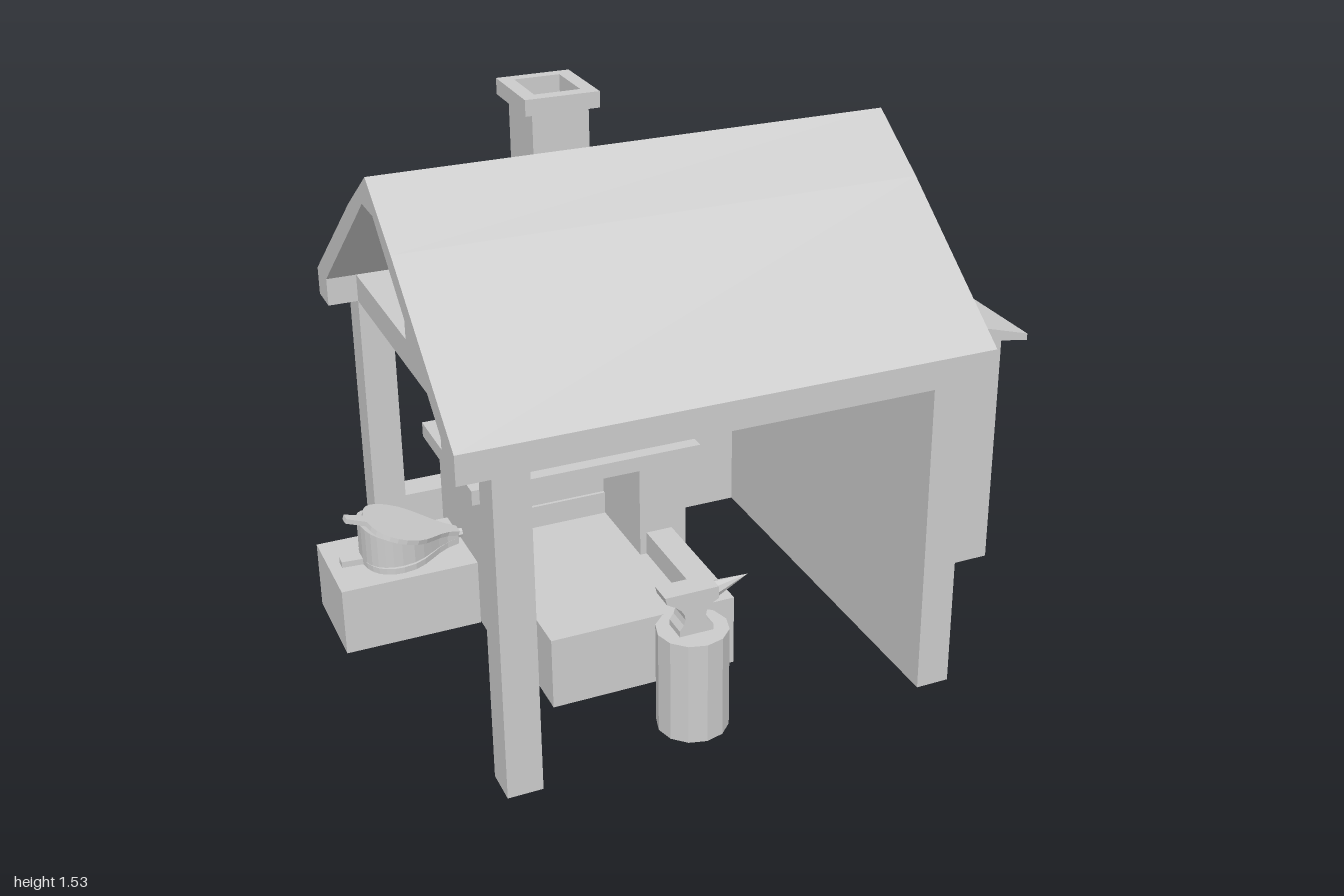
import * as THREE from 'three';

const mat = new THREE.MeshStandardMaterial({ color: 0xcccccc, flatShading: true, side: THREE.DoubleSide });

export function createModel() {
  const model = new THREE.Group();

  const add = (name, geo, parent = model) => {
    const m = new THREE.Mesh(geo, mat);
    m.name = name;
    parent.add(m);
    return m;
  };
  // Box from its limits on each axis
  const box = (name, x0, x1, y0, y1, z0, z1, parent) =>
    add(name, new THREE.BoxGeometry(x1 - x0, y1 - y0, z1 - z0)
      .translate((x0 + x1) / 2, (y0 + y1) / 2, (z0 + z1) / 2), parent);
  const poly = pts => new THREE.Shape(pts.map(p => new THREE.Vector2(...p)));
  const rect = (x0, x1, z0, z1) => poly([[x0, z0], [x1, z0], [x1, z1], [x0, z1]]);
  const extrude = (shape, depth) =>
    new THREE.ExtrudeGeometry(shape, { depth, bevelEnabled: false, curveSegments: 6 });
  // Section in (z, y) swept along x
  const alongX = (name, pts, x0, x1, parent) =>
    add(name, extrude(poly(pts), x1 - x0).rotateY(-Math.PI / 2).translate(x1, 0, 0), parent);
  // Section in (x, y) swept along z
  const alongZ = (name, shape, z0, z1, parent) =>
    add(name, extrude(shape, z1 - z0).translate(0, 0, z0), parent);
  // Plan in (x, z) swept along y, with an optional hole
  const alongY = (name, shape, y0, y1, hole, parent) => {
    if (hole) shape.holes.push(hole);
    return add(name, extrude(shape, y1 - y0).rotateX(Math.PI / 2).translate(0, y1, 0), parent);
  };

  // Gable roof with drop eaves
  const half = [[0.64, 0.9], [0.64, 0.98], [0.2, 1.31]];
  const inner = [[0.05, 1.36], [0.1, 1.32], [0.54, 0.98], [0.54, 0.9]];
  const mirror = pts => pts.map(([z, y]) => [-z, y]).reverse();
  alongX('roof', [...half, [0, 1.445], ...mirror(half), ...mirror(inner), ...inner], -0.885, 0.56);

  // Side wall, posts, low back wall
  alongX('sideWall', [[-0.64, 0], [0.64, 0], [0.64, 0.9], [0.54, 0.9], [0.54, 0.98],
    [-0.54, 0.98], [-0.54, 0.9], [-0.64, 0.9]], 0.38, 0.475);
  for (const [name, z] of [['frontPost', 0.54], ['backPost', -0.64]])
    box(name, -0.8, -0.705, 0, 0.9, z, z + 0.1);
  box('backWall', -0.705, 0.38, 0, 0.25, -0.64, -0.55);

  // Gable framing
  box('tieBeam', -0.8, -0.705, 0.9, 0.98, -0.54, 0.54);
  for (const x of [-0.8, 0.38]) box('kingPost', x, x + 0.095, 0.98, 1.36, -0.043, 0.043);

  // Lean-to shed
  const shed = new THREE.Group();
  shed.name = 'shed';
  model.add(shed);
  alongZ('shedBody', poly([[0.475, 0], [0.935, 0], [0.935, 0.74], [0.475, 0.81]]), -0.54, 0.11, shed);
  alongZ('shedRoof', poly([[0.475, 0.81], [1, 0.73], [1, 0.75], [0.475, 0.9]]), -0.575, 0.145, shed);

  // Forge: U-shaped body, hearth tray, slab, hood and hollow chimney
  const forge = new THREE.Group();
  forge.name = 'forge';
  model.add(forge);
  alongY('forgeBody', poly([[-0.605, -0.5], [0.02, -0.5], [0.02, -0.11], [-0.125, -0.11],
    [-0.125, -0.4], [-0.455, -0.4], [-0.455, -0.11], [-0.605, -0.11]]), 0.005, 0.44, null, forge);
  alongY('hearthRim', rect(-0.56, -0.025, -0.45, 0.32), 0.14, 0.21, rect(-0.48, -0.105, -0.39, 0.24), forge);
  box('hearthBase', -0.56, -0.025, 0, 0.14, -0.45, 0.32, forge);
  box('slab', -0.64, 0.05, 0.44, 0.485, -0.54, -0.07, forge);
  box('hood', -0.56, -0.025, 0.485, 0.665, -0.45, -0.16, forge);
  const flue = () => rect(-0.36, -0.23, -0.39, -0.23);
  alongY('chimney', rect(-0.375, -0.215, -0.4, -0.21), 0.665, 1.49, flue(), forge);
  alongY('chimneyCap', rect(-0.4, -0.19, -0.425, -0.19), 1.485, 1.53, flue(), forge);

  // Anvil on a stump
  const anvil = new THREE.Group();
  anvil.name = 'anvilStand';
  anvil.position.set(-0.245, 0, 0.53);
  model.add(anvil);
  add('stump', new THREE.CylinderGeometry(0.097, 0.097, 0.295, 12).translate(0, 0.1475, 0), anvil);
  const side = new THREE.Shape();
  side.moveTo(-0.05, 0.295);
  side.lineTo(0.045, 0.295);
  side.lineTo(0.045, 0.312);
  side.quadraticCurveTo(0.005, 0.34, 0.04, 0.375);
  side.lineTo(0.06, 0.385);
  side.lineTo(0.06, 0.42);
  side.lineTo(-0.09, 0.42);
  side.lineTo(-0.085, 0.4);
  side.quadraticCurveTo(-0.005, 0.36, -0.05, 0.312);
  alongZ('anvilBody', side, -0.033, 0.033, anvil);
  // Horn: cone whose top edge runs level with the anvil face
  const horn = new THREE.ConeGeometry(0.024, 0.1, 8).rotateZ(-Math.PI / 2).translate(0.108, 0, 0);
  const hp = horn.attributes.position;
  for (let i = 0; i < hp.count; i++) {
    const t = (hp.getX(i) - 0.058) / 0.1;
    hp.setY(i, hp.getY(i) + 0.393 + 0.023 * t);
  }
  add('anvilHorn', horn, anvil);

  // Bellows on a low bench
  box('bench', -1, -0.605, 0, 0.2, -0.455, -0.165);
  const bellows = new THREE.Group();
  bellows.name = 'bellows';
  bellows.position.set(-0.62, 0, -0.31);
  model.add(bellows);
  // Teardrop plan with the nozzle end at x = 0
  const teardrop = (s, handle) => {
    const w = 0.115 * s, p = new THREE.Shape();
    p.moveTo(0, 0.018);
    p.bezierCurveTo(-0.08, 0.03, -0.11, w, -0.19, w);
    p.quadraticCurveTo(-0.275, w, -0.285, 0.02);
    if (handle) {
      p.lineTo(-0.345, 0.015);
      p.lineTo(-0.345, -0.015);
    }
    p.lineTo(-0.285, -0.02);
    p.quadraticCurveTo(-0.275, -w, -0.19, -w);
    p.bezierCurveTo(-0.11, -w, -0.08, -0.03, 0, -0.018);
    return p;
  };
  alongY('lowerBoard', teardrop(1, true), 0.2, 0.218, null, bellows);
  // Leather rises in a wedge away from the nozzle
  const leather = extrude(teardrop(0.92, false), 1).rotateX(Math.PI / 2).translate(0, 1, 0);
  const lp = leather.attributes.position;
  for (let i = 0; i < lp.count; i++)
    lp.setY(i, 0.216 + lp.getY(i) * (0.012 - 0.34 * lp.getX(i)));
  add('leather', leather, bellows);
  const lid = alongY('upperBoard', teardrop(1, true), 0, 0.014, null, bellows);
  lid.position.y = 0.226;
  lid.rotation.z = -0.335;
  add('nozzle', new THREE.CylinderGeometry(0.01, 0.016, 0.08, 8)
    .rotateZ(-Math.PI / 2).translate(0.02, 0.225, 0), bellows);

  return model;
}
